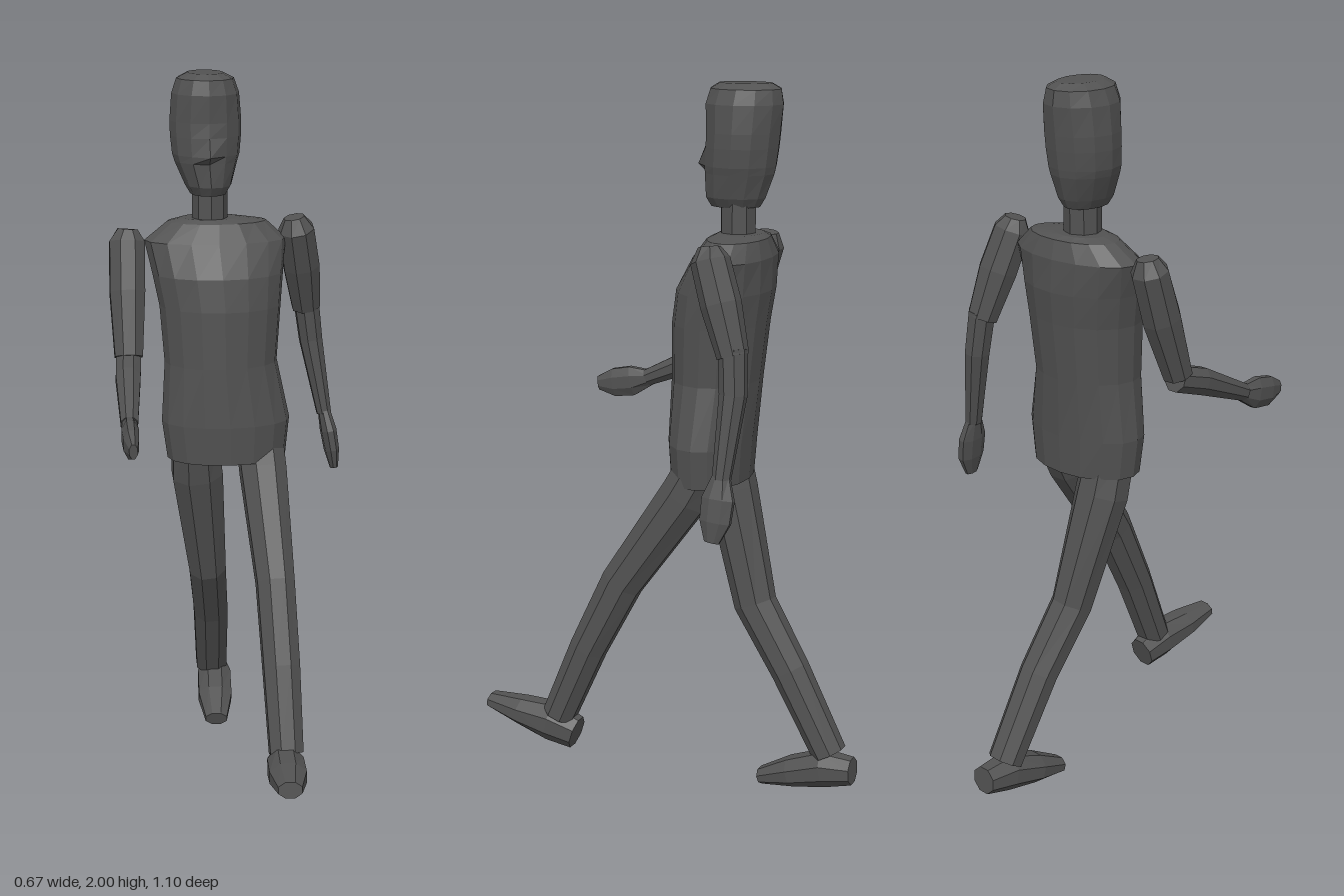
import * as THREE from 'three';

const charcoal = new THREE.MeshStandardMaterial({ color: 0x525252 });
charcoal.name = 'charcoal';

// Faceted loft through sections [x, y, z, radiusU, radiusV, frontBump].
// level = true keeps every ring horizontal (sections listed top to bottom).
function loft(name, sections, sides = 8, level = false) {
  const centres = sections.map(s => new THREE.Vector3(s[0], s[1], s[2]));
  const positions = [], index = [];
  sections.forEach((s, i) => {
    const t = level
      ? new THREE.Vector3(0, -1, 0)
      : centres[Math.min(i + 1, centres.length - 1)].clone().sub(centres[Math.max(i - 1, 0)]).normalize();
    const u = new THREE.Vector3(1, 0, 0).addScaledVector(t, -t.x).normalize();
    const v = t.clone().cross(u);
    for (let j = 0; j < sides; j++) {
      const a = ((j + (level ? 0 : 0.5)) / sides) * Math.PI * 2;
      const bump = level && j === sides / 4 ? s[5] || 0 : 0;
      const p = centres[i].clone()
        .addScaledVector(u, Math.cos(a) * s[3])
        .addScaledVector(v, Math.sin(a) * s[4] + bump);
      positions.push(p.x, p.y, p.z);
    }
  });
  const last = sections.length - 1, start = sections.length * sides;
  positions.push(...centres[0].toArray(), ...centres[last].toArray());
  for (let j = 0; j < sides; j++) {
    const k = (j + 1) % sides;
    for (let i = 0; i < last; i++) {
      const a = i * sides + j, b = i * sides + k;
      index.push(a, b, b + sides, a, b + sides, a + sides);
    }
    index.push(start, k, j, start + 1, last * sides + j, last * sides + k);
  }
  let geometry = new THREE.BufferGeometry();
  geometry.setAttribute('position', new THREE.Float32BufferAttribute(positions, 3));
  geometry.setIndex(index);
  geometry = geometry.toNonIndexed();
  geometry.computeVertexNormals();
  const mesh = new THREE.Mesh(geometry, charcoal);
  mesh.name = name;
  return mesh;
}

export function createModel() {
  const model = new THREE.Group();
  model.name = 'walkingFigure';

  // Head and neck
  model.add(loft('head', [
    [-0.06, 2.0, -0.185, 0.05, 0.075],
    [-0.06, 1.985, -0.185, 0.08, 0.1],
    [-0.06, 1.945, -0.182, 0.094, 0.109],
    [-0.06, 1.87, -0.18, 0.1, 0.103],
    [-0.06, 1.83, -0.177, 0.099, 0.102, 0.004],
    [-0.06, 1.78, -0.172, 0.094, 0.1, 0.022],
    [-0.06, 1.76, -0.17, 0.088, 0.098],
    [-0.055, 1.695, -0.16, 0.065, 0.085],
    [-0.055, 1.67, -0.16, 0.05, 0.07],
  ], 12, true));
  model.add(loft('neck', [
    [-0.05, 1.72, -0.17, 0.05, 0.05],
    [-0.05, 1.57, -0.17, 0.05, 0.05],
  ], 8, true));

  // Torso
  model.add(loft('torso', [
    [-0.05, 1.6, -0.18, 0.08, 0.06],
    [-0.03, 1.59, -0.18, 0.14, 0.08],
    [-0.035, 1.54, -0.17, 0.2, 0.105],
    [-0.03, 1.45, -0.145, 0.185, 0.13],
    [-0.025, 1.36, -0.133, 0.172, 0.13],
    [-0.025, 1.2, -0.123, 0.16, 0.122],
    [-0.012, 1.03, -0.115, 0.183, 0.115],
    [-0.01, 0.92, -0.115, 0.17, 0.108],
  ], 16, true));

  // Left arm, swung back
  model.add(loft('leftUpperArm', [
    [0.19, 1.595, -0.175, 0.03, 0.03],
    [0.197, 1.56, -0.18, 0.053, 0.053],
    [0.218, 1.45, -0.218, 0.055, 0.055],
    [0.24, 1.32, -0.26, 0.043, 0.043],
  ]));
  model.add(loft('leftForearm', [
    [0.24, 1.34, -0.26, 0.038, 0.04],
    [0.256, 1.22, -0.267, 0.035, 0.038],
    [0.295, 1.0, -0.25, 0.022, 0.026],
  ]));
  model.add(loft('leftHand', [
    [0.295, 1.01, -0.25, 0.018, 0.025],
    [0.308, 0.95, -0.246, 0.024, 0.047],
    [0.318, 0.89, -0.242, 0.022, 0.045],
    [0.325, 0.835, -0.235, 0.012, 0.022],
  ]));

  // Right arm, swung forward
  model.add(loft('rightUpperArm', [
    [-0.28, 1.57, -0.18, 0.03, 0.03],
    [-0.283, 1.535, -0.175, 0.053, 0.05],
    [-0.287, 1.4, -0.13, 0.053, 0.055],
    [-0.29, 1.23, -0.065, 0.042, 0.042],
  ]));
  model.add(loft('rightForearm', [
    [-0.29, 1.22, -0.075, 0.038, 0.038],
    [-0.298, 1.19, 0.02, 0.037, 0.04],
    [-0.308, 1.11, 0.2, 0.025, 0.026],
  ]));
  model.add(loft('rightHand', [
    [-0.308, 1.11, 0.19, 0.02, 0.024],
    [-0.31, 1.095, 0.25, 0.025, 0.047],
    [-0.311, 1.085, 0.31, 0.022, 0.045],
    [-0.309, 1.08, 0.36, 0.012, 0.022],
  ]));

  // Left leg, stepping forward
  model.add(loft('leftLeg', [
    [0.085, 0.97, -0.12, 0.07, 0.07],
    [0.09, 0.88, -0.07, 0.07, 0.072],
    [0.1, 0.61, 0.115, 0.057, 0.062],
    [0.103, 0.4, 0.22, 0.055, 0.055],
    [0.105, 0.18, 0.315, 0.05, 0.05],
  ]));
  model.add(loft('leftFoot', [
    [0.105, 0.128, 0.262, 0.042, 0.05],
    [0.1, 0.152, 0.34, 0.055, 0.06],
    [0.092, 0.168, 0.44, 0.055, 0.043],
    [0.082, 0.182, 0.545, 0.035, 0.024],
  ]));

  // Right leg, trailing behind
  model.add(loft('rightLeg', [
    [-0.1, 0.97, -0.12, 0.07, 0.07],
    [-0.092, 0.86, -0.145, 0.078, 0.072],
    [-0.055, 0.54, -0.23, 0.058, 0.062],
    [-0.033, 0.36, -0.345, 0.055, 0.056],
    [-0.018, 0.13, -0.47, 0.05, 0.05],
  ]));
  model.add(loft('rightFoot', [
    [-0.005, 0.092, -0.543, 0.042, 0.04],
    [-0.01, 0.087, -0.46, 0.055, 0.055],
    [-0.018, 0.058, -0.36, 0.055, 0.044],
    [-0.025, 0.026, -0.265, 0.035, 0.024],
  ]));

  return model;
}
